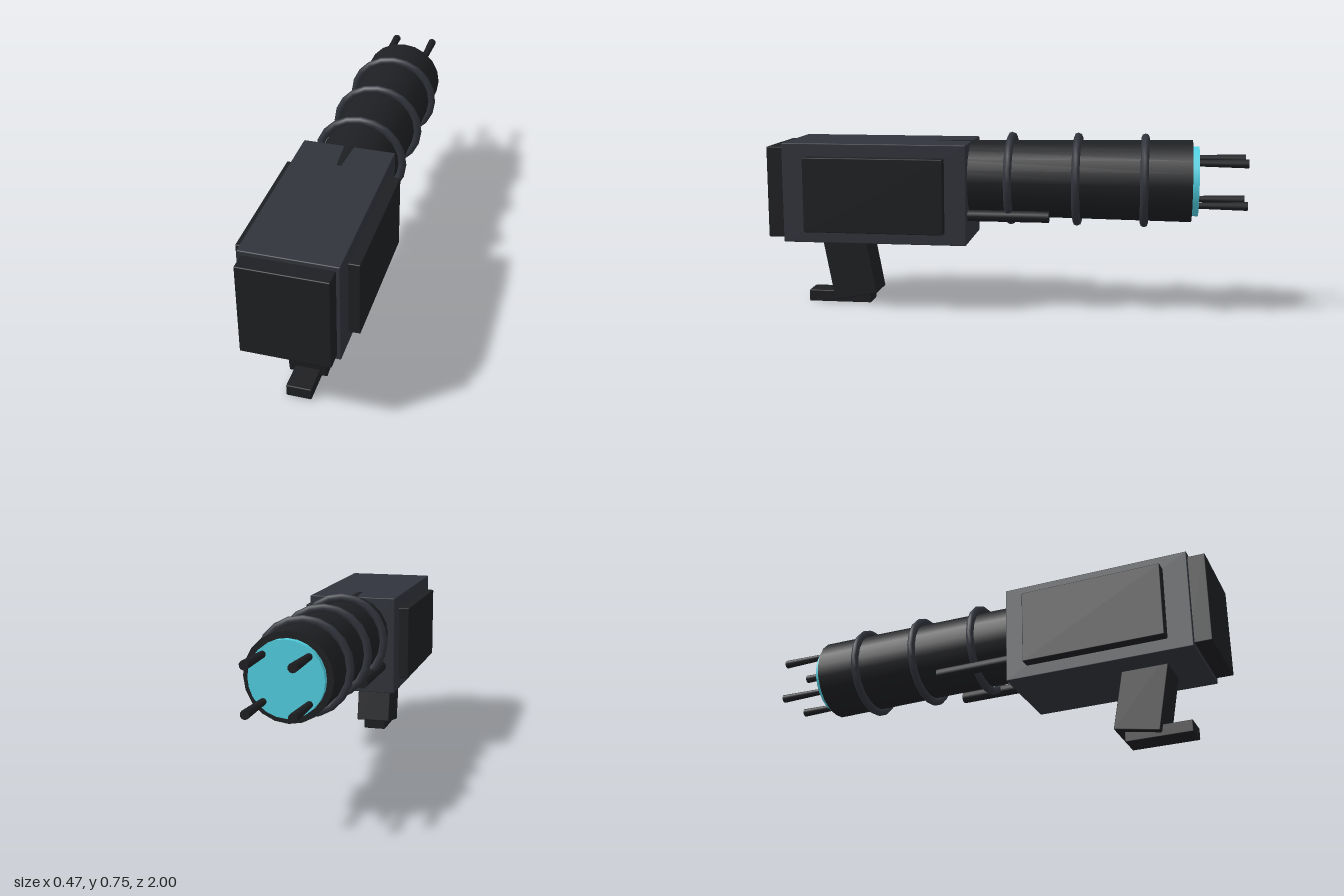
import * as THREE from 'three';
import { RoundedBoxGeometry } from 'three/addons/geometries/RoundedBoxGeometry.js';

const paint = (color) => new THREE.MeshStandardMaterial({ color });
const AXIS_Y = 0.5525; // height of the barrel axis

export function createModel() {
  const model = new THREE.Group();
  const black = paint(0x1e1f22);
  const slate = paint(0x31343c);
  const cyan = paint(0x52d2e4);

  const add = (name, geometry, material, x, y, z) => {
    const mesh = new THREE.Mesh(geometry, material);
    mesh.name = name;
    mesh.position.set(x, y, z);
    model.add(mesh);
    return mesh;
  };
  const box = (name, w, h, d, material, x, y, z) =>
    add(name, new RoundedBoxGeometry(w, h, d, 1, 0.004), material, x, y, z);

  // Cylinder along z, from z0 (radius r0) to the more negative z1 (radius r1)
  const rod = (name, r0, r1, z0, z1, sides, material, x, y) => {
    const geometry = new THREE.CylinderGeometry(r0, r1, z0 - z1, sides);
    geometry.rotateX(Math.PI / 2);
    return add(name, geometry, material, x, y, (z0 + z1) / 2);
  };

  // Housing with its end plate and side panels
  box('housing', 0.38, 0.42, 0.78, slate, 0, 0.5, 0.54);
  box('endPlate', 0.35, 0.384, 0.1, black, 0, 0.5, 0.95);
  for (const side of [-1, 1]) {
    box('sidePanel', 0.06, 0.314, 0.59, black, side * 0.205, 0.498, 0.535);
  }

  // Slanted grip and its foot
  const grip = box('grip', 0.156, 0.33, 0.19, black, 0, 0.195, 0.6825);
  grip.rotation.x = 0.183;
  box('gripFoot', 0.102, 0.05, 0.275, black, 0, 0.025, 0.7325);

  // Barrel, widening slightly towards the muzzle
  rod('barrel', 0.159, 0.172, 0.3, -0.775, 20, black, 0, AXIS_Y);

  // Reinforcing rings
  for (const z of [-0.02, -0.3, -0.58]) {
    add('barrelRing', new THREE.TorusGeometry(0.181, 0.017, 8, 20).rotateZ(Math.PI / 2),
      slate, 0, AXIS_Y, z);
  }

  // Glowing muzzle disc with four prongs
  rod('muzzleDisc', 0.146, 0.146, -0.76, -0.802, 24, cyan, 0, AXIS_Y);
  for (const sx of [-1, 1]) {
    for (const sy of [-1, 1]) {
      rod('prong', 0.013, 0.018, -0.78, -1, 10, black, sx * 0.0875, AXIS_Y + sy * 0.0875);
    }
    // Short rods beneath the barrel
    rod('lowerRod', 0.024, 0.024, 0.2, -0.19, 12, black, sx * 0.13, 0.41);
  }
  return model;
}
